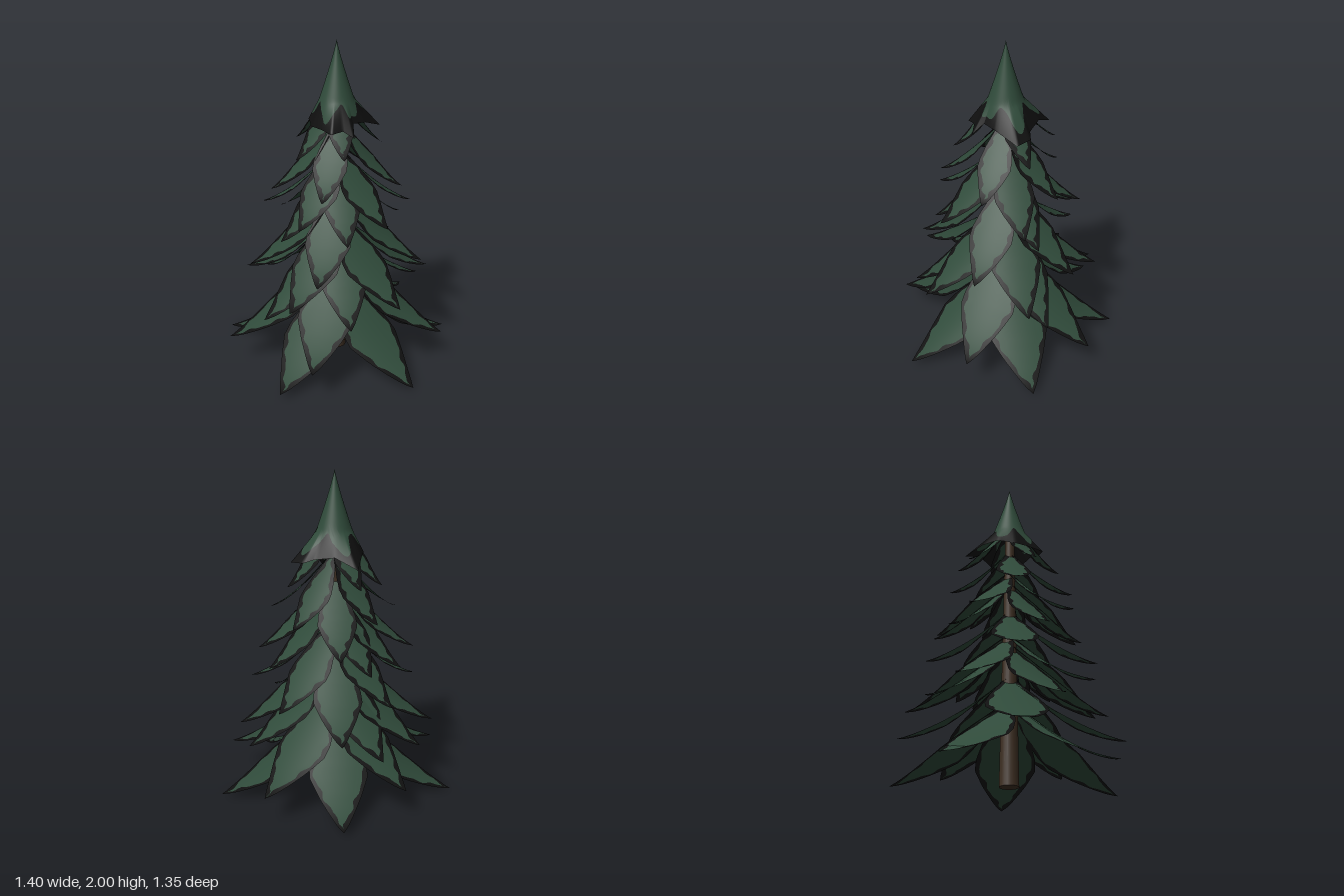
import * as THREE from 'three';

const DEG = Math.PI / 180;
const AXIS_X = -0.035;

function mat(name, color) {
  const m = new THREE.MeshStandardMaterial({ color, side: THREE.DoubleSide });
  m.name = name;
  return m;
}

// Piecewise-linear lookup through [x, y] pairs
function lookup(points, x) {
  for (let i = 1; i < points.length; i++) {
    const [x0, y0] = points[i - 1], [x1, y1] = points[i];
    if (x <= x1) return y0 + (y1 - y0) * (x - x0) / (x1 - x0);
  }
  return points[points.length - 1][1];
}

// Grid surface: fn(a, b) returns [x, y, z] with a, b in 0..1
function surface(fn, na, nb) {
  const pos = [], index = [];
  for (let i = 0; i <= na; i++) for (let j = 0; j <= nb; j++) pos.push(...fn(i / na, j / nb));
  for (let i = 0; i < na; i++) for (let j = 0; j < nb; j++) {
    const p = i * (nb + 1) + j, q = p + nb + 1;
    index.push(p, p + 1, q, p + 1, q + 1, q);
  }
  const g = new THREE.BufferGeometry();
  g.setAttribute('position', new THREE.Float32BufferAttribute(pos, 3));
  g.setIndex(index);
  g.computeVertexNormals();
  return g;
}

const OUTLINE = [[0, 0.25], [0.25, 0.78], [0.38, 0.97], [0.48, 1], [0.65, 0.72], [0.8, 0.43], [0.92, 0.19], [1, 0]];

// One drooping bough: green middle with a ragged dark border
function makeBough(reach, rise, seed, green, dark) {
  const half = 0.25 * reach;
  const width = (u) => half * lookup(OUTLINE, u);
  const inner = (u, side) => {
    const wave = Math.sin(u * 31 + seed + side * 1.7) + 0.6 * Math.sin(u * 53 + seed * 2 - side);
    const border = 0.026 + 0.007 * wave;
    return Math.max(0, width(u) - border * (u > 0.8 ? 1.15 : 1));
  };
  const point = (u, w) => {
    const bend = w / half;
    return [0.02 + (reach - 0.02) * u, rise * Math.pow(1 - u, 1.35) - 0.12 * half * bend * bend, w];
  };
  const bough = new THREE.Group();
  const middle = new THREE.Mesh(surface((u, v) => {
    const lo = -inner(u, -1), hi = inner(u, 1);
    return point(u, hi + (lo - hi) * v);
  }, 44, 6), green);
  middle.name = 'boughMiddle';
  bough.add(middle);
  for (const side of [-1, 1]) {
    const edge = new THREE.Mesh(surface((u, v) => {
      const k = side > 0 ? v : 1 - v;
      const a = width(u), b = inner(u, side);
      return point(u, side * (a + (b - a) * k));
    }, 44, 2), dark);
    edge.name = 'boughEdge';
    bough.add(edge);
  }
  return bough;
}

export function createModel() {
  const green = mat('needle green', 0x2f4a3a);
  const dark = mat('edge black', 0x0f0f0f);
  const brown = mat('bark brown', 0x3f3023);
  const tree = new THREE.Group();
  tree.name = 'pineTree';

  // Trunk
  const trunk = new THREE.Mesh(new THREE.CylinderGeometry(0.03, 0.058, 1.6, 20), brown);
  trunk.name = 'trunk';
  trunk.position.set(AXIS_X, 0.8, 0.005);
  tree.add(trunk);

  // Three whorls of boughs, repeated smaller up the trunk; each bough is [angle, reach]
  const whorls = [
    { tips: [0.03, 0.5, 0.97], scales: [1, 0.82, 0.65],
      boughs: [[0, 0.735], [65, 0.74], [144, 0.75], [218, 0.71], [293, 0.74]] },
    { tips: [0.19, 0.67, 1.14], scales: [1, 0.79, 0.59],
      boughs: [[-34, 0.69], [50, 0.7], [109, 0.71], [183, 0.665], [258, 0.695]] },
    { tips: [0.4, 0.87, 1.35], scales: [1, 0.76, 0.54],
      boughs: [[30, 0.58], [86, 0.59], [165, 0.61], [195, 0.61], [281, 0.6]] },
  ];
  whorls.forEach((whorl, w) => whorl.tips.forEach((tipY, level) => {
    const scale = whorl.scales[level];
    whorl.boughs.forEach(([angle, reach], i) => {
      const rise = 0.45 * (0.5 + 0.5 * scale);
      const bough = makeBough(reach * scale, rise, w * 5 + level * 3 + i * 2.3, green, dark);
      bough.name = 'bough';
      bough.position.set(AXIS_X, tipY + 0.012 * Math.sin(i * 2.4 + w), 0);
      bough.rotation.y = -angle * DEG;
      tree.add(bough);
    });
  }));

  // Treetop: a spire flaring into a ragged star-shaped skirt; rim is [x, y, z] around the axis
  const rim = [
    [0.155, 1.53, 0], [0.215, 1.46, 0.04], [0.165, 1.5, 0.085], [0.155, 1.49, 0.16], [0.05, 1.5, 0.16],
    [-0.035, 1.5, 0.16], [-0.135, 1.52, 0.11], [-0.2, 1.51, 0.03], [-0.275, 1.46, -0.07], [-0.145, 1.52, -0.13],
    [-0.035, 1.5, -0.19], [0.005, 1.48, -0.245], [0.105, 1.47, -0.25], [0.145, 1.52, -0.1],
  ].map((p) => new THREE.Vector3(...p));
  const rimAt = (a) => {
    const f = (a % 1) * rim.length, i = Math.floor(f);
    return rim[i].clone().lerp(rim[(i + 1) % rim.length], f - i);
  };
  const spire = (s, a) => {
    const r = rimAt(a), theta = Math.atan2(r.z, r.x);
    const k = Math.min(s / 0.6, 1), radius = 0.105 * Math.pow(k, 1.15);
    const p = new THREE.Vector3(Math.cos(theta) * radius, 2 - 0.35 * k, Math.sin(theta) * radius);
    if (s > 0.6) p.lerp(r, (s - 0.6) / 0.4);
    return [p.x + AXIS_X, p.y, p.z];
  };
  const split = (a) => {
    const r = rimAt(a), theta = Math.atan2(r.z, r.x);
    return 0.76 - 0.13 * Math.cos(5 * (theta - 100 * DEG)) + 0.02 * Math.sin(13 * theta);
  };
  const top = new THREE.Group();
  top.name = 'treetop';
  const cone = new THREE.Mesh(surface((s, a) => spire(s * split(a), a), 24, 84), green);
  cone.name = 'treetopSpire';
  const skirt = new THREE.Mesh(surface((s, a) => {
    const k = split(a);
    return spire(k + (1 - k) * s, a);
  }, 8, 84), dark);
  skirt.name = 'treetopSkirt';
  top.add(cone, skirt);
  tree.add(top);

  return tree;
}
